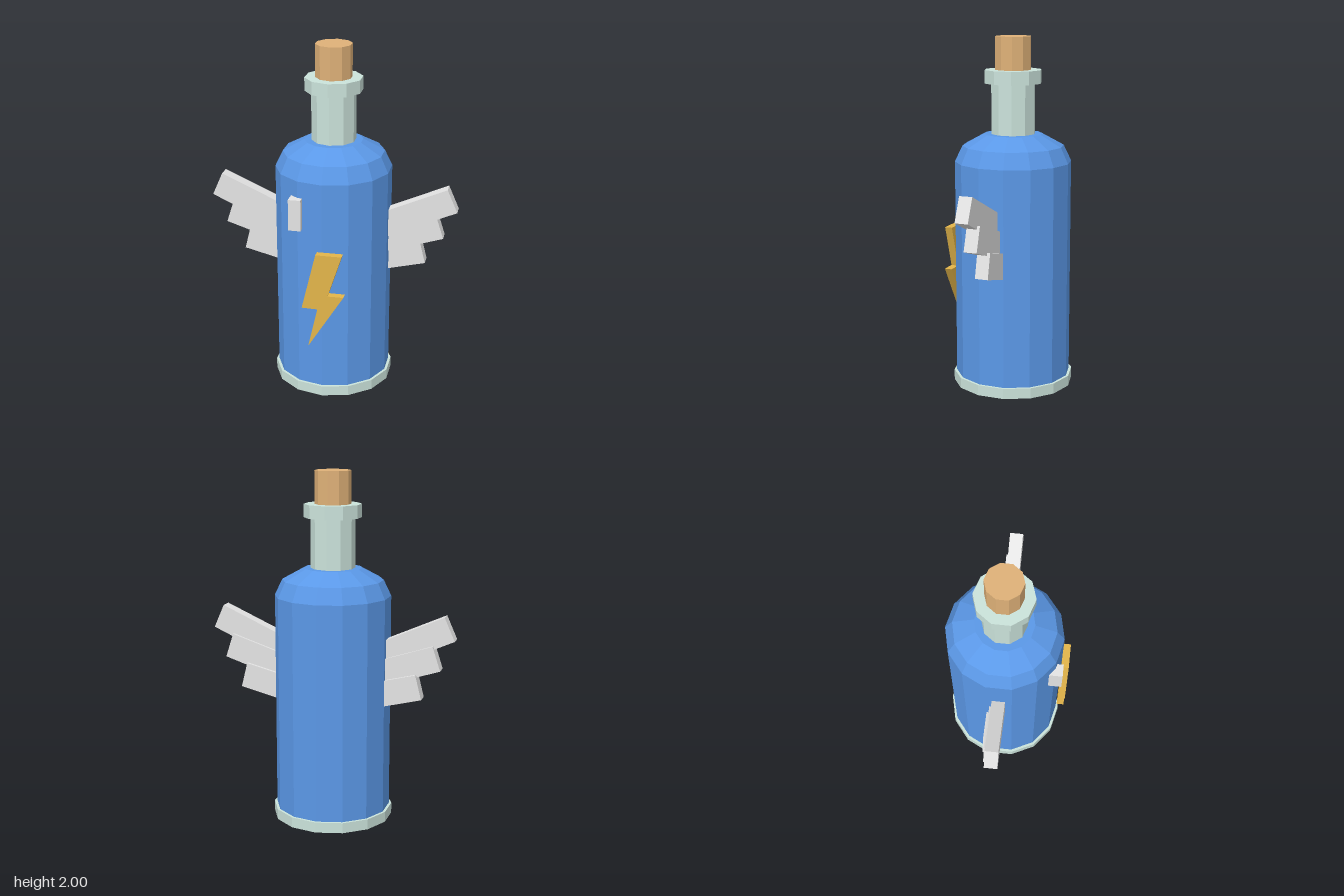
import * as THREE from 'three';

const mat = (name, color) => {
  const m = new THREE.MeshStandardMaterial({ color, flatShading: true });
  m.name = name;
  return m;
};

export function createModel() {
  const blue = mat('blue liquid', 0x5c9aea);
  const glass = mat('pale glass', 0xcbe3db);
  const corkTan = mat('cork tan', 0xdfb178);
  const white = mat('feather white', 0xe4e4e4);
  const gold = mat('bolt gold', 0xe3b54a);

  const model = new THREE.Group();
  model.name = 'wingedBottle';
  const add = (name, geometry, material, parent = model) => {
    const mesh = new THREE.Mesh(geometry, material);
    mesh.name = name;
    parent.add(mesh);
    return mesh;
  };

  // Round parts share an axis slightly behind the centre
  const bottle = new THREE.Group();
  bottle.name = 'bottle';
  bottle.position.z = -0.016;
  model.add(bottle);
  const ring = (name, r, y0, y1, sides, material) => {
    add(name, new THREE.CylinderGeometry(r, r, y1 - y0, sides), material, bottle)
      .position.y = (y0 + y1) / 2;
  };
  const profile = [[0.33, 0.05], [0.33, 1.3], [0.287, 1.39], [0.165, 1.457], [0, 1.457]]
    .map(([r, y]) => new THREE.Vector2(r, y));
  add('body', new THREE.LatheGeometry(profile, 14), blue, bottle);
  ring('base', 0.345, 0, 0.06, 14, glass);
  ring('neck', 0.126, 1.44, 1.75, 10, glass);
  ring('lip', 0.163, 1.74, 1.815, 10, glass);
  ring('cork', 0.103, 1.79, 2, 10, corkTan);

  // Feathers: lower outer corner x and y, tilt in degrees, centre z
  const feathers = [
    [0.71, 1.081, 24, -0.018],
    [0.635, 0.911, 18, -0.033],
    [0.534, 0.743, 14, -0.051],
  ];
  const height = 0.145;
  for (const side of [1, -1]) {
    const wing = new THREE.Group();
    wing.name = side > 0 ? 'leftWing' : 'rightWing';
    model.add(wing);
    for (const [x, y, tilt, z] of feathers) {
      const a = THREE.MathUtils.degToRad(tilt);
      const length = (x - 0.24) / Math.cos(a);
      const cx = x - Math.cos(a) * length / 2 - Math.sin(a) * height / 2;
      const cy = y - Math.sin(a) * length / 2 + Math.cos(a) * height / 2;
      const f = add('feather', new THREE.BoxGeometry(length, height, 0.075), white, wing);
      f.position.set(side * cx, cy, z);
      f.rotation.z = side * a;
    }
  }

  // Highlight block on the front
  add('highlight', new THREE.BoxGeometry(0.07, 0.18, 0.075), white)
    .position.set(-0.15, 1.115, 0.286);

  // Lightning bolt
  const bolt = new THREE.Shape([
    [-0.026, 0.906], [-0.106, 0.576], [-0.016, 0.574], [-0.07, 0.337],
    [0.132, 0.661], [0.042, 0.661], [0.121, 0.906],
  ].map(([x, y]) => new THREE.Vector2(x, y)));
  add('lightningBolt', new THREE.ExtrudeGeometry(bolt, { depth: 0.043, bevelEnabled: false }), gold)
    .position.z = 0.316;

  return model;
}
